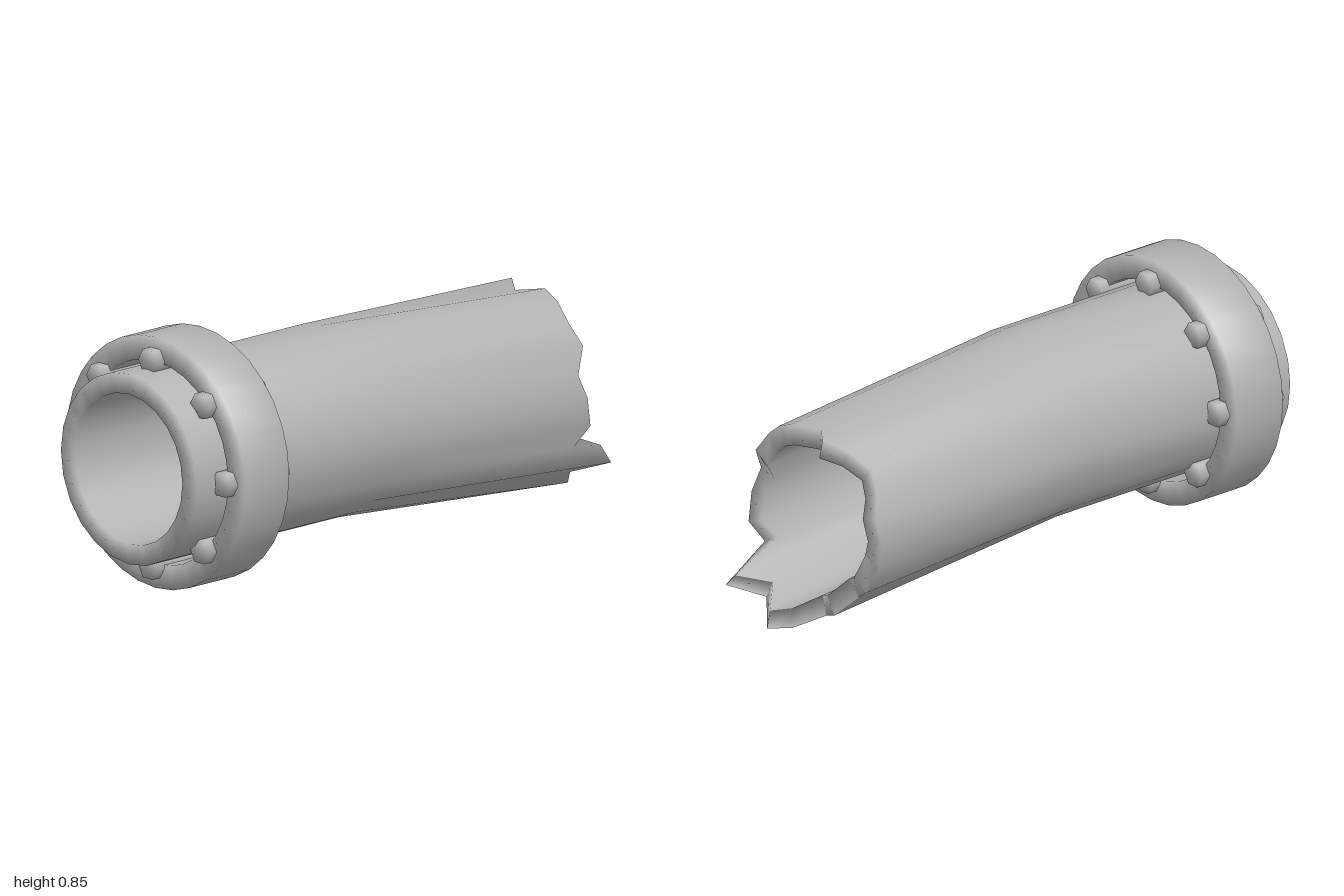
import * as THREE from 'three';
import { mergeVertices } from 'three/addons/utils/BufferGeometryUtils.js';

const AXIS_Y = 0.427;

// Broken rim, one [x, y, z] per side, from the top round towards +z
const RIM = [
  [0.80, 0.68, -0.06], [0.86, 0.69, 0.02], [0.85, 0.66, 0.09], [0.83, 0.605, 0.165],
  [0.85, 0.535, 0.21], [0.80, 0.45, 0.24], [0.83, 0.37, 0.253], [0.85, 0.27, 0.245],
  [0.81, 0.20, 0.21], [1.00, 0.105, 0.185], [0.91, 0.07, 0.085], [0.98, 0.003, 0.0],
  [0.93, 0.015, -0.07], [0.85, 0.06, -0.145], [0.88, 0.093, -0.22], [0.80, 0.145, -0.25],
  [0.85, 0.205, -0.345], [0.80, 0.285, -0.35], [0.82, 0.375, -0.39], [0.82, 0.465, -0.36],
  [0.79, 0.54, -0.33], [0.78, 0.605, -0.29], [0.82, 0.66, -0.225], [0.87, 0.69, -0.15],
];

// A circle of points round the pipe axis
function circle(x, radius, sides) {
  return Array.from({ length: sides }, (_, k) => {
    const a = (k / sides) * Math.PI * 2;
    return [x, AXIS_Y + radius * Math.cos(a), radius * Math.sin(a)];
  });
}

// Joins rings of points into a closed, smooth hollow body
function closedTube(rings) {
  const n = rings[0].length;
  const index = [];
  rings.forEach((_, i) => {
    const next = (i + 1) % rings.length;
    for (let j = 0; j < n; j++) {
      const k = (j + 1) % n;
      const a = i * n + j, b = i * n + k, c = next * n + j, d = next * n + k;
      index.push(a, c, b, b, c, d);
    }
  });
  const geometry = new THREE.BufferGeometry();
  geometry.setAttribute('position', new THREE.Float32BufferAttribute(rings.flat(2), 3));
  geometry.setIndex(index);
  geometry.computeVertexNormals();
  return geometry;
}

export function createModel() {
  const model = new THREE.Group();
  model.name = 'brokenPipe';
  const metal = new THREE.MeshStandardMaterial({ color: 0xb3b3b3 });
  metal.name = 'grey metal';

  const add = (geometry, name) => {
    const mesh = new THREE.Mesh(geometry, metal);
    mesh.name = name;
    model.add(mesh);
    return mesh;
  };

  // Pipe: straight length, then a bent stretch out to the torn rim
  const sides = RIM.length;
  const innerRim = RIM.map(([x, y, z]) => {
    const dy = y - 0.36, dz = z + 0.07;
    const s = 1 - 0.07 / Math.hypot(dy, dz);
    return [x, 0.36 + dy * s, -0.07 + dz * s];
  });
  add(closedTube([
    RIM, circle(-0.13, 0.323, sides), circle(-1, 0.323, sides),
    circle(-1, 0.255, sides), circle(-0.13, 0.255, sides), innerRim,
  ]), 'pipe');

  // Flange collar
  add(closedTube([
    circle(-0.68, 0.426, 32), circle(-0.88, 0.426, 32),
    circle(-0.88, 0.345, 32), circle(-0.68, 0.345, 32),
  ]), 'flange');

  // Hexagonal bolts through the flange
  let boltGeometry = new THREE.CylinderGeometry(0.045, 0.045, 0.27, 6);
  boltGeometry.deleteAttribute('normal');
  boltGeometry.deleteAttribute('uv');
  boltGeometry = mergeVertices(boltGeometry);
  boltGeometry.rotateZ(Math.PI / 2);
  boltGeometry.computeVertexNormals();
  circle(-0.78, 0.349, 8).forEach((p) => add(boltGeometry, 'bolt').position.set(...p));

  return model;
}
